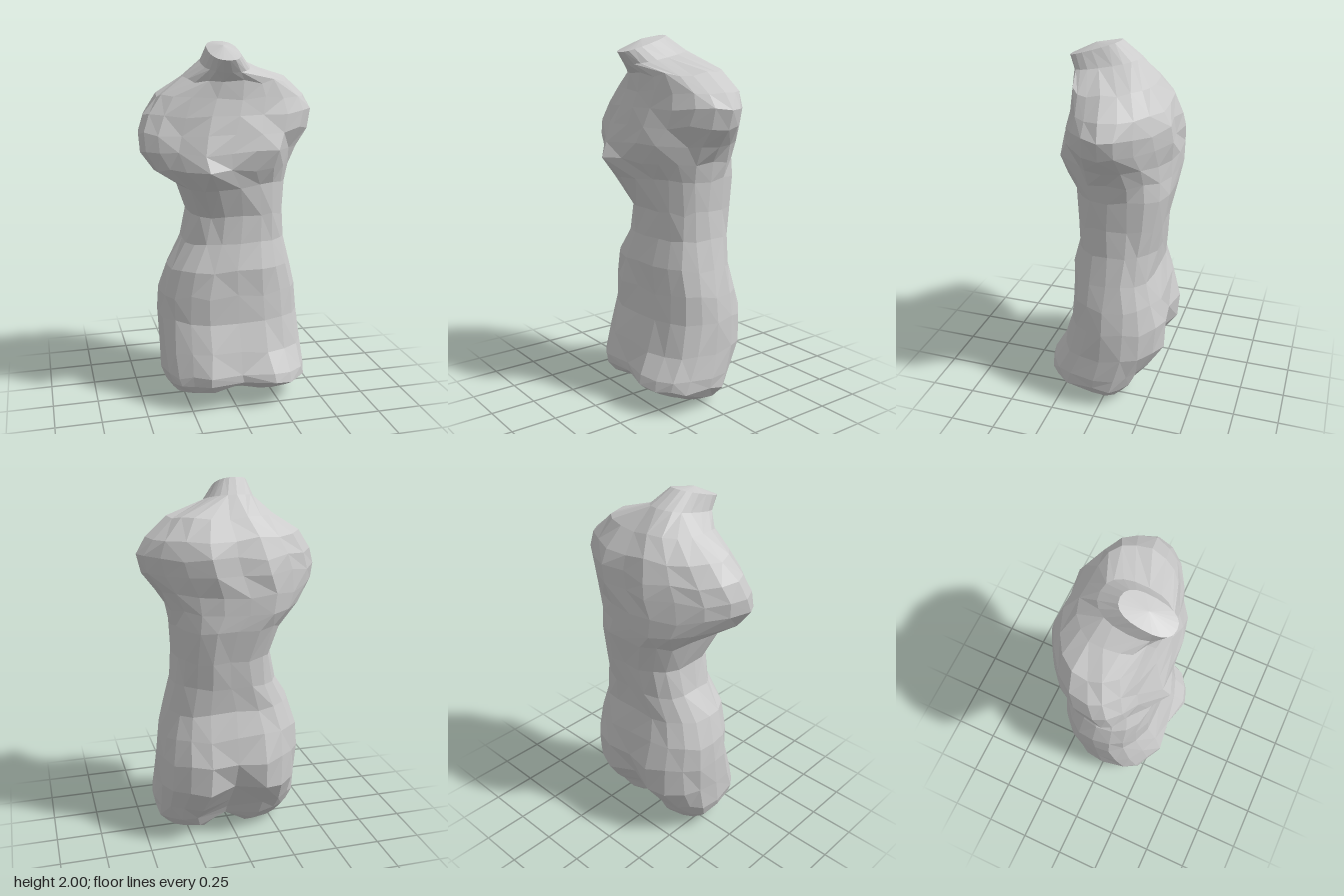
import * as THREE from 'three';

const SIDES = 20;

// Body outline from thighs to neck: [height, right x, left x, front z, back z]
const slices = [
  [0.02, -0.25, 0.31, 0.18, -0.07],
  [0.06, -0.32, 0.38, 0.30, -0.12],
  [0.12, -0.36, 0.42, 0.35, -0.17],
  [0.20, -0.38, 0.43, 0.345, -0.23],
  [0.33, -0.39, 0.425, 0.285, -0.32],
  [0.50, -0.39, 0.415, 0.23, -0.32],
  [0.64, -0.38, 0.40, 0.225, -0.295],
  [0.78, -0.335, 0.37, 0.225, -0.26],
  [0.93, -0.25, 0.33, 0.19, -0.27],
  [1.08, -0.22, 0.32, 0.19, -0.295],
  [1.25, -0.285, 0.33, 0.235, -0.33],
  [1.35, -0.41, 0.345, 0.26, -0.33],
  [1.44, -0.478, 0.40, 0.265, -0.325],
  [1.54, -0.492, 0.475, 0.265, -0.315],
  [1.63, -0.46, 0.49, 0.245, -0.305],
  [1.72, -0.38, 0.44, 0.22, -0.28],
  [1.81, -0.24, 0.32, 0.215, -0.21],
  [1.90, -0.15, 0.10, 0.245, -0.11],
  [2.00, -0.13, 0.035, 0.28, 0],
];

// Soft swells (+) and hollows (-): [x, y, front 1 or back -1, x radius, y radius, amount]
const forms = [
  [-0.16, 1.34, 1, 0.12, 0.11, 0.085],  // right breast
  [0.18, 1.43, 1, 0.11, 0.10, 0.04],    // left breast
  [0.20, 1.25, 1, 0.13, 0.10, -0.04],   // hollow under the left breast
  [-0.30, 1.50, 1, 0.05, 0.09, -0.04],  // right armpit crease
  [0.31, 1.46, 1, 0.05, 0.08, -0.05],   // left armpit crease
  [0.03, 0.15, 1, 0.05, 0.20, -0.05],   // gap between thighs
  [-0.25, 0.15, 1, 0.12, 0.12, -0.04],  // right thigh set back
  [0.03, 0.25, -1, 0.05, 0.22, -0.075], // gap between buttocks
  [0.02, 1.25, -1, 0.06, 0.40, -0.02],  // spine
];

// Matching swells on both sides of the back: buttocks and shoulder blades
for (const side of [-1, 1]) {
  forms.push([0.03 + side * 0.19, 0.43, -1, 0.12, 0.14, 0.025]);
  forms.push([side * 0.15, 1.6, -1, 0.1, 0.14, 0.03]);
}

const bell = (d, r) => Math.exp(-(d / r) * (d / r));
const signedPower = (v, p) => Math.sign(v) * Math.pow(Math.abs(v), p);

function slicePoint([h, right, left, front, back], angle) {
  // boxy thighs, rounder slices through the shoulders
  const roundness = 0.82 - 0.17 * bell(h - 0.1, 0.15) + 0.25 * bell(h - 1.58, 0.2);
  const c = signedPower(Math.cos(angle), roundness);
  const s = signedPower(Math.sin(angle), roundness);
  const x = (right + left) / 2 + (c * (left - right)) / 2;

  // the flanks come forward at the thighs, the hanging right arm and the neck
  const neck = THREE.MathUtils.smoothstep(h, 1.75, 2);
  const flank = -0.03 + 0.08 * bell(h, 0.3) + 0.06 * (1 - c) * bell(h - 1.43, 0.2) + 0.17 * neck;
  let z = flank + (s > 0 ? s * (front - flank) : s * (flank - back));
  for (const [fx, fy, side, rx, ry, amount] of forms) {
    const facing = THREE.MathUtils.clamp(side * s * 1.5, 0, 1);
    z += side * facing * amount * bell(x - fx, rx) * bell(h - fy, ry);
  }

  // the base slopes up to the front, the neck cut slopes down, the thighs part
  const tilt = 0.25 * bell(h, 0.13) - 0.32 * neck;
  const lift = 0.06 * bell(x - 0.03, 0.06) * bell(h, 0.1);
  return [x, h + tilt * z + lift, z];
}

function torsoGeometry() {
  let seed = 7;
  const jitter = (size) => {
    seed = (seed * 16807) % 2147483647;
    return (seed / 2147483647 - 0.5) * size;
  };
  const points = [], faces = [];
  const last = slices.length - 1;
  slices.forEach((slice, row) => {
    const rough = row > 1 && row < last - 1 ? 0.013 : 0;
    for (let i = 0; i < SIDES; i++) {
      const [x, y, z] = slicePoint(slice, (i / SIDES) * Math.PI * 2);
      points.push(x + jitter(rough), y + jitter(rough * 2), z + jitter(rough));
    }
  });

  // skin between slices, with varied diagonals for a chiselled look
  for (let row = 0; row < last; row++) {
    for (let i = 0; i < SIDES; i++) {
      const a = row * SIDES + i, b = row * SIDES + ((i + 1) % SIDES);
      const c = a + SIDES, d = b + SIDES;
      if ((row * 3 + i * 5) % 4 < 2) faces.push(a, c, b, b, c, d);
      else faces.push(a, c, d, a, d, b);
    }
  }

  // underside of the thighs and slightly domed cut of the neck
  const cap = (row, up, dome) => {
    const center = points.length / 3, start = row * SIDES, mean = [0, dome, 0];
    for (let i = 0; i < SIDES * 3; i++) mean[i % 3] += points[start * 3 + i] / SIDES;
    points.push(...mean);
    for (let i = 0; i < SIDES; i++) {
      const a = start + i, b = start + ((i + 1) % SIDES);
      faces.push(center, up ? b : a, up ? a : b);
    }
  };
  cap(0, false, 0);
  cap(last, true, 0.025);

  const geometry = new THREE.BufferGeometry();
  geometry.setAttribute('position', new THREE.Float32BufferAttribute(points, 3));
  geometry.setIndex(faces);
  const flat = geometry.toNonIndexed();
  flat.computeVertexNormals();
  return flat;
}

export function createModel() {
  const model = new THREE.Group();
  model.name = 'torsoSculpture';
  const stone = new THREE.MeshStandardMaterial({ color: 0xcccccc, flatShading: true });
  const torso = new THREE.Mesh(torsoGeometry(), stone);
  torso.name = 'torso';
  model.add(torso);
  return model;
}
